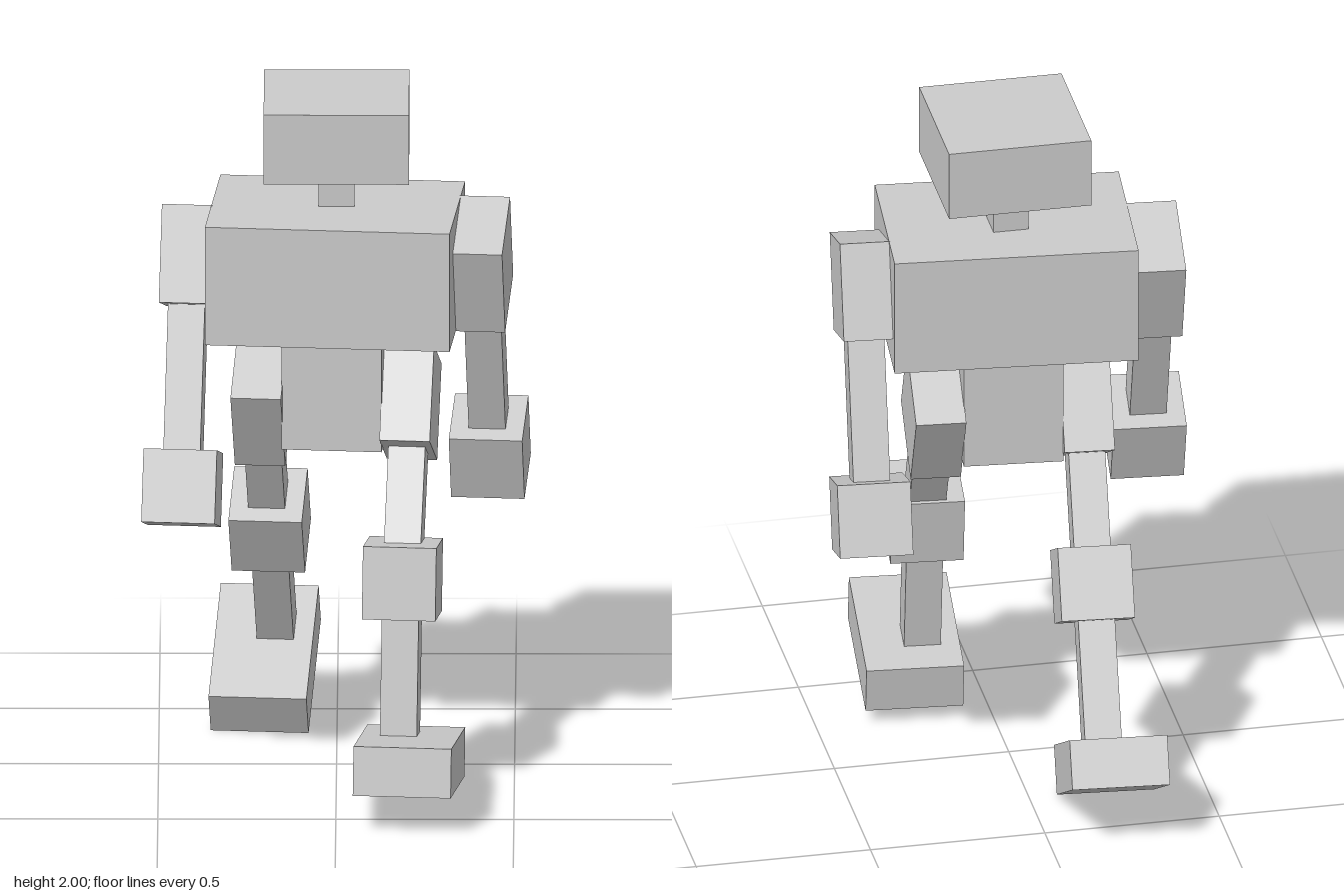
import * as THREE from 'three';

const material = new THREE.MeshStandardMaterial({ color: 0xcccccc, flatShading: true });

function box(parent, name, size, pos) {
  const mesh = new THREE.Mesh(new THREE.BoxGeometry(...size), material);
  mesh.name = name;
  mesh.position.set(...pos);
  parent.add(mesh);
  return mesh;
}

// A joint is a group that swings about its own x axis (degrees)
function joint(parent, name, pos, degrees) {
  const group = new THREE.Group();
  group.name = name;
  group.position.set(...pos);
  group.rotation.x = THREE.MathUtils.degToRad(degrees);
  parent.add(group);
  return group;
}

const ROD = 0.104;
const BLOCK = 0.207;
const UPPER = [0.142, 0.277, 0.264];

// Square rod hanging from a joint
function rod(parent, name, length) {
  return box(parent, name, [ROD, length, ROD], [0, -length / 2, 0]);
}

function addArm(body, label, side, swing) {
  const arm = joint(body, label + 'Arm', [side * 0.413, 1.495, 0.018], swing);
  box(arm, label + 'UpperArm', UPPER, [0, 0, 0]);
  rod(arm, label + 'Forearm', 0.652);
  box(arm, label + 'Hand', [BLOCK, BLOCK, BLOCK], [0, -0.652, 0]);
}

function addLeg(body, label, side, hipSwing, shinSwing) {
  const leg = joint(body, label + 'Leg', [side * 0.21, 1.082, 0.018], hipSwing);
  box(leg, label + 'Thigh', UPPER, [0, 0, 0]);
  rod(leg, label + 'ThighRod', 0.507);
  // Lower leg bends at the knee
  const lower = joint(leg, label + 'LowerLeg', [0, -0.507, 0], shinSwing - hipSwing);
  box(lower, label + 'Knee', [BLOCK, BLOCK, BLOCK], [0, 0, 0]);
  rod(lower, label + 'Shin', 0.49);
  box(lower, label + 'Foot', [0.276, 0.14, 0.434], [side * 0.032, -0.509, 0.061]);
}

export function createModel() {
  const model = new THREE.Group();
  model.name = 'blockFigure';

  // Head and neck look straight ahead
  box(model, 'head', [0.408, 0.205, 0.414], [0, 1.897, 0.048]);
  box(model, 'neck', [0.1, 0.16, 0.1], [0, 1.732, 0.02]);

  // Body and limbs are turned slightly in mid-stride
  const body = new THREE.Group();
  body.name = 'body';
  body.rotation.y = THREE.MathUtils.degToRad(-5);
  model.add(body);
  box(body, 'torso', [0.69, 0.348, 0.48], [0, 1.495, 0.049]);
  box(body, 'pelvis', [0.282, 0.36, 0.272], [0, 1.155, 0.018]);

  addArm(body, 'left', 1, 20.3);
  addArm(body, 'right', -1, -20.3);
  addLeg(body, 'left', 1, -29.3, -9.8);
  addLeg(body, 'right', -1, 29.5, 29.3);

  return model;
}
